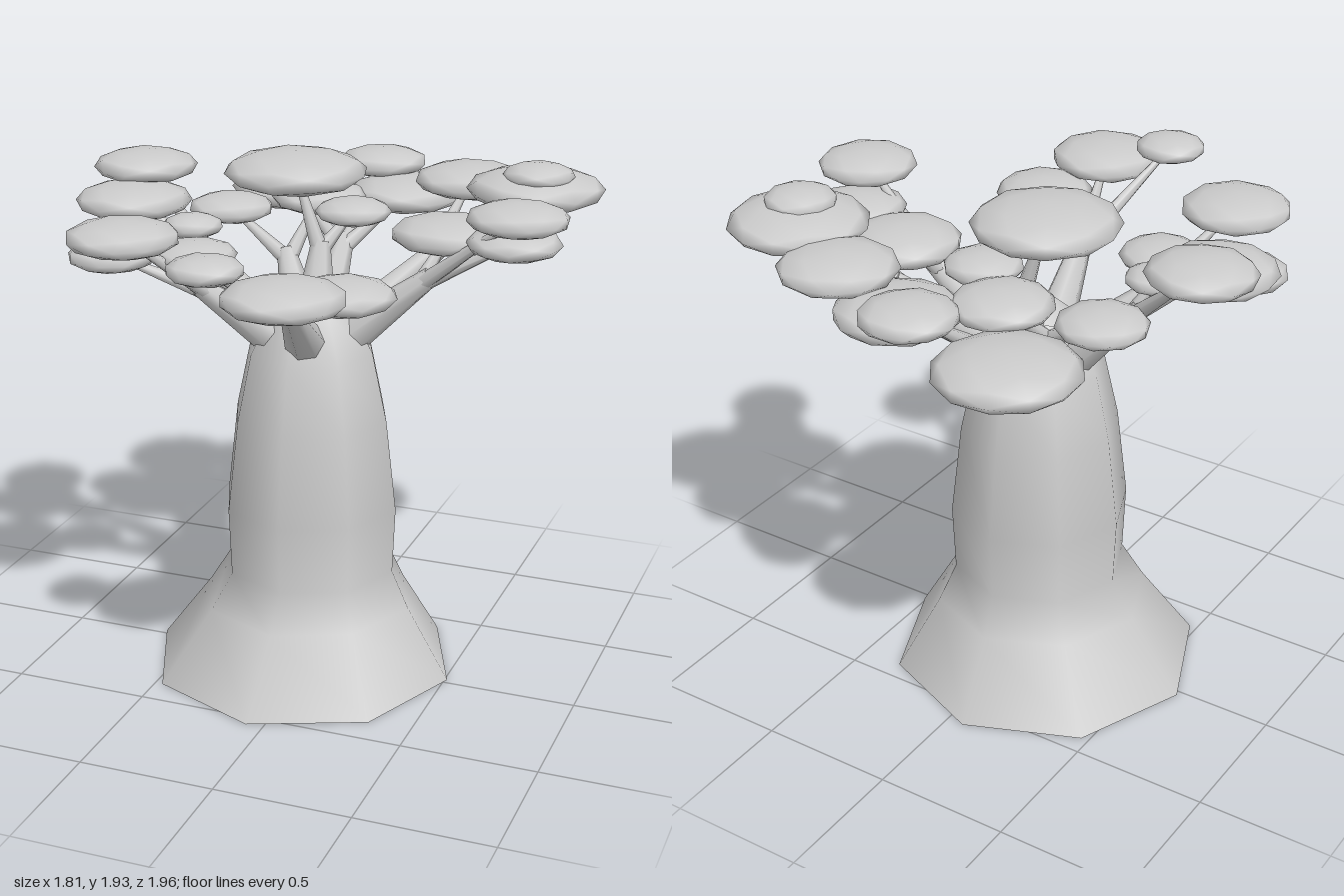
import * as THREE from 'three';

const material = new THREE.MeshStandardMaterial({ color: 0xcccccc });
const UP = new THREE.Vector3(0, 1, 0);
const AXIS = new THREE.Vector3(-0.033, 0, -0.022); // centre line of the trunk

// Straight tapering piece of wood between two points
function taper(name, from, to, r0, r1) {
  const dir = to.clone().sub(from);
  const geometry = new THREE.CylinderGeometry(r1, r0, dir.length(), 7, 1);
  const mesh = new THREE.Mesh(geometry, material);
  mesh.name = name;
  mesh.position.copy(from).addScaledVector(dir, 0.5);
  mesh.quaternion.setFromUnitVectors(UP, dir.normalize());
  return mesh;
}

// Flattened low-poly leaf clump; wider clumps are also thicker
function foliage(centre, radius, turn) {
  const mesh = new THREE.Mesh(new THREE.IcosahedronGeometry(1, 1), material);
  mesh.name = 'foliage';
  mesh.position.copy(centre);
  mesh.rotation.y = turn;
  mesh.scale.set(radius, 0.02 + 0.2 * radius, radius);
  return mesh;
}

// Leaf clumps carried by each bough: x, y, z, radius
const boughs = {
  topBough: [[-0.14, 1.86, -0.15, 0.26], [0.04, 1.7, -0.26, 0.14]],
  frontBough: [[0.28, 1.63, 0.5, 0.18], [0.18, 1.69, 0.78, 0.21], [-0.07, 1.77, 0.82, 0.13]],
  leftBough: [[0.42, 1.67, -0.2, 0.21], [0.69, 1.69, -0.09, 0.17], [0.73, 1.81, 0.02, 0.18]],
  backLeftBough: [[0.37, 1.76, -0.63, 0.21], [0.66, 1.79, -0.47, 0.25], [0.68, 1.85, -0.43, 0.13]],
  backBough: [[0.11, 1.68, -0.66, 0.22], [-0.03, 1.76, -0.79, 0.17], [-0.37, 1.64, -0.74, 0.25]],
  backRightBough: [[-0.16, 1.69, -0.45, 0.18], [-0.47, 1.65, -0.33, 0.16]],
  rightBough: [[-0.73, 1.83, -0.15, 0.19], [-0.69, 1.75, 0.04, 0.21], [-0.47, 1.67, 0.02, 0.11]],
  frontRightBough: [[-0.65, 1.62, 0.31, 0.16], [-0.36, 1.635, 0.25, 0.15], [-0.51, 1.75, 0.51, 0.2]],
};

// A limb grows from the trunk towards its clumps, then forks into one twig per clump
function makeBough(name, clumps, seed) {
  const bough = new THREE.Group();
  bough.name = name;
  const centres = clumps.map(([x, y, z]) => new THREE.Vector3(x, y, z));
  const mean = new THREE.Vector3();
  centres.forEach((c) => mean.addScaledVector(c, 1 / centres.length));

  const out = mean.clone().sub(AXIS).setY(0);
  const reach = Math.min(0.15, 0.3 * out.length());
  const base = AXIS.clone().addScaledVector(out.normalize(), reach).setY(1.42 - 0.7 * reach);
  const fork = base.clone().lerp(mean, 0.57);
  const twigStart = base.clone().lerp(fork, 0.85);
  bough.add(taper('limb', base, fork, 0.075, 0.035));

  centres.forEach((centre, i) => {
    bough.add(taper('twig', twigStart, centre, 0.032, 0.01));
    bough.add(foliage(centre, clumps[i][3], seed * 0.7 + i * 1.9));
  });
  return bough;
}

export function createModel() {
  const tree = new THREE.Group();
  tree.name = 'tree';

  // Swollen eight-sided trunk with a flared foot
  const profile = [[0.575, 0], [0.395, 0.27], [0.32, 0.41], [0.33, 0.66], [0.29, 1],
    [0.235, 1.25], [0.15, 1.41], [0.06, 1.485], [0, 1.49]].map(([r, y]) => new THREE.Vector2(r, y));
  const trunkGeometry = new THREE.LatheGeometry(profile, 8);
  const p = trunkGeometry.attributes.position;
  // The foot leans slightly off the trunk axis
  for (let i = 0; i < p.count; i++) {
    p.setX(i, p.getX(i) + AXIS.x - 0.032 * Math.max(0, 1 - p.getY(i) / 0.41));
    p.setZ(i, p.getZ(i) + AXIS.z);
  }
  const trunk = new THREE.Mesh(trunkGeometry, material);
  trunk.name = 'trunk';
  tree.add(trunk);

  // Underside of the foot
  const underside = new THREE.Mesh(new THREE.CircleGeometry(0.575, 8).rotateX(Math.PI / 2), material);
  underside.name = 'trunkUnderside';
  underside.position.set(AXIS.x - 0.032, 0, AXIS.z);
  tree.add(underside);

  // Crown
  Object.entries(boughs).forEach(([name, clumps], i) => tree.add(makeBough(name, clumps, i)));
  return tree;
}
